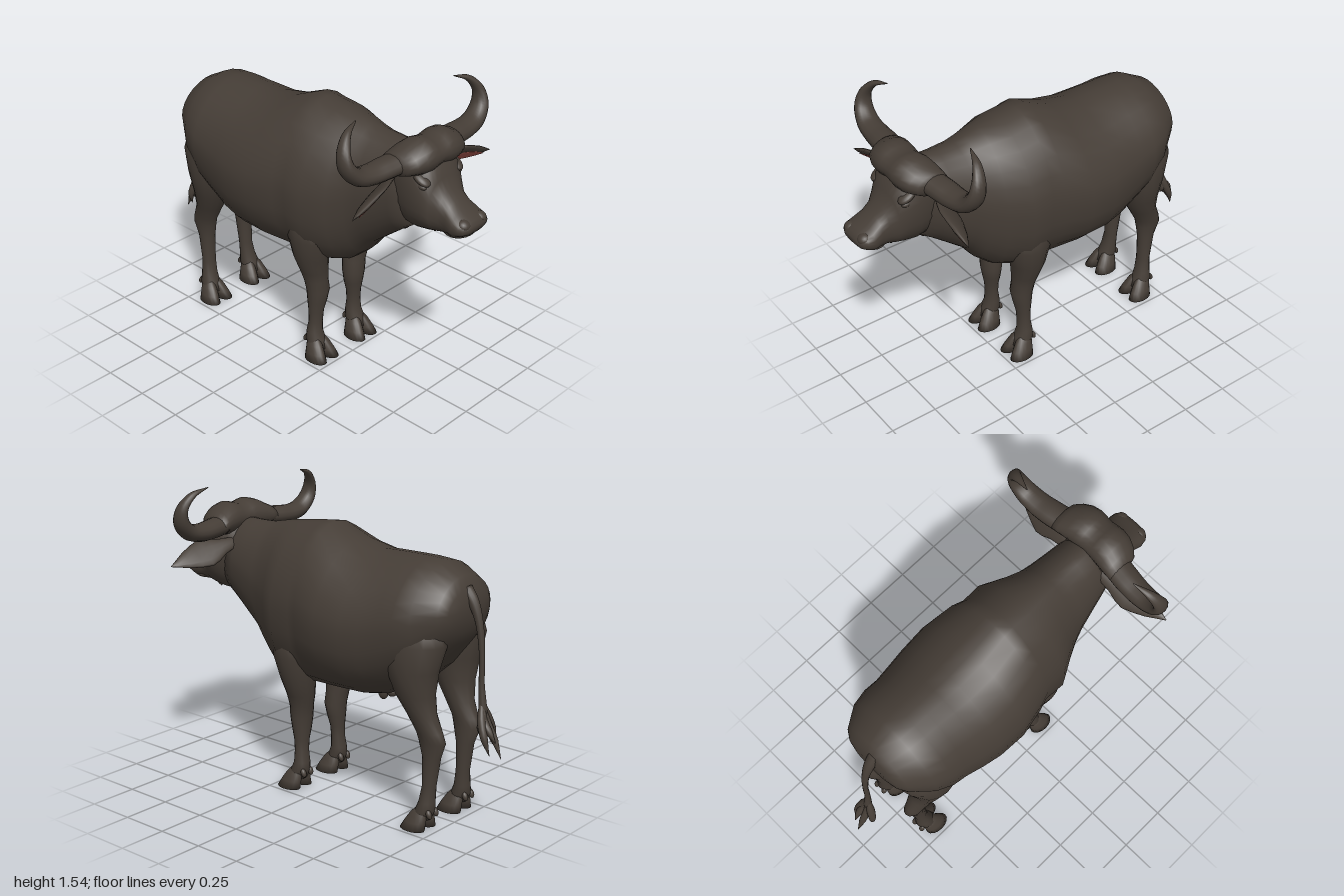
import * as THREE from 'three';

const hide = new THREE.MeshStandardMaterial({ color: 0x453d36 });
hide.name = 'darkHide';
const pink = new THREE.MeshStandardMaterial({ color: 0xa3534b });
pink.name = 'innerEarPink';

const V = (a) => new THREE.Vector3(...a);

// Closed skin over rings { c: centre, a, b: half axes, e, f: upper and lower superellipse power }
function loft(rings, n = 20) {
  const pos = [], idx = [];
  for (const { c, a, b, e = 2, f = e } of rings) {
    for (let i = 0; i < n; i++) {
      const t = (i / n) * Math.PI * 2, cs = Math.cos(t), sn = Math.sin(t), p = 2 / (sn > 0 ? e : f);
      const u = Math.sign(cs) * Math.abs(cs) ** p, v = Math.sign(sn) * Math.abs(sn) ** p;
      for (let k = 0; k < 3; k++) pos.push(c[k] + a[k] * u + b[k] * v);
    }
  }
  const m = rings.length;
  for (let r = 0; r < m - 1; r++) {
    for (let i = 0; i < n; i++) {
      const j = (i + 1) % n, p = r * n + i, q = r * n + j;
      idx.push(p, q, p + n, q, q + n, p + n);
    }
  }
  pos.push(...rings[0].c, ...rings[m - 1].c);
  for (let i = 0; i < n; i++) {
    const j = (i + 1) % n, z = (m - 1) * n;
    idx.push(m * n, j, i, m * n + 1, z + i, z + j);
  }
  // Turn the faces outward whichever way the rings run
  let vol = 0;
  const P = (i) => new THREE.Vector3().fromArray(pos, i * 3);
  for (let i = 0; i < idx.length; i += 3) vol += P(idx[i]).dot(P(idx[i + 1]).cross(P(idx[i + 2])));
  if (vol < 0) idx.reverse();
  const g = new THREE.BufferGeometry();
  g.setAttribute('position', new THREE.Float32BufferAttribute(pos, 3));
  g.setIndex(idx);
  g.computeVertexNormals();
  return g;
}

// Upright rings along x: [x, top, bottom, halfWidth]
const alongX = (rows, e, f) => loft(rows.map(([x, t, b, w]) => (
  { c: [x, (t + b) / 2, 0], a: [0, 0, w], b: [0, (t - b) / 2, 0], e, f })), 28);

// Level rings down a limb: [x, y, z, radiusX, radiusZ]
const alongY = (rows, s = 1) => loft(rows.map(([x, y, z, rx, rz]) => (
  { c: [x, y, z * s], a: [rx, 0, 0], b: [0, 0, rz] })), 16);

// Tapering tube through points [x, y, z, radius], flattened upright by 'flat'
function taper(rows, flat = 1, steps = 24) {
  const curve = new THREE.CatmullRomCurve3(rows.map((r) => V(r.slice(0, 3))));
  const rings = [];
  for (let i = 0; i <= steps; i++) {
    const t = i / steps, f = t * (rows.length - 1), k = Math.min(Math.floor(f), rows.length - 2);
    const r = THREE.MathUtils.lerp(rows[k][3], rows[k + 1][3], f - k);
    const d = curve.getTangent(t);
    const ref = Math.abs(d.x) > 0.9 ? new THREE.Vector3(0, 0, 1) : new THREE.Vector3(1, 0, 0);
    const a = ref.addScaledVector(d, -ref.dot(d)).normalize();
    const b = d.clone().cross(a);
    rings.push({
      c: curve.getPoint(t).toArray(),
      a: a.multiplyScalar(r / flat).toArray(), b: b.multiplyScalar(r).toArray(),
    });
  }
  return loft(rings, 14);
}

export function createModel() {
  const model = new THREE.Group();
  model.name = 'buffalo';
  const add = (name, geo, mat = hide) => {
    const m = new THREE.Mesh(geo, mat);
    m.name = name;
    model.add(m);
    return m;
  };
  const blob = (name, p, r, tilt = 0) => {
    const m = add(name, new THREE.SphereGeometry(1, 18, 12));
    m.position.set(...p);
    m.scale.set(...r);
    m.rotation.z = tilt;
  };

  // Trunk and neck, with a roof-like back
  add('body', alongX([
    [-0.82, 1.14, 1.04, 0.1], [-0.805, 1.19, 0.98, 0.165], [-0.775, 1.245, 0.92, 0.21],
    [-0.67, 1.3, 0.78, 0.285], [-0.58, 1.305, 0.7, 0.312], [-0.5, 1.305, 0.645, 0.316],
    [-0.4, 1.303, 0.6, 0.335], [-0.3, 1.3, 0.58, 0.352], [-0.15, 1.33, 0.575, 0.36],
    [0, 1.395, 0.563, 0.329], [0.06, 1.39, 0.558, 0.308], [0.17, 1.377, 0.557, 0.314],
    [0.28, 1.362, 0.59, 0.252], [0.36, 1.345, 0.66, 0.213], [0.42, 1.332, 0.74, 0.195],
    [0.52, 1.328, 0.82, 0.174], [0.59, 1.33, 0.875, 0.16], [0.66, 1.31, 0.925, 0.143],
  ], 1.85, 2.25));

  // Head from nape to muzzle
  add('head', alongX([
    [0.56, 1.26, 1.04, 0.1], [0.62, 1.33, 0.95, 0.143], [0.71, 1.35, 0.94, 0.157],
    [0.775, 1.31, 0.95, 0.15], [0.808, 1.225, 0.956, 0.128], [0.845, 1.172, 0.96, 0.1],
    [0.885, 1.133, 0.963, 0.098], [0.93, 1.1, 0.97, 0.109], [0.965, 1.082, 0.99, 0.104],
    [0.985, 1.068, 1.002, 0.09], [0.998, 1.05, 1.02, 0.06],
  ], 2.35));
  blob('lowerLip', [0.9, 0.988, 0], [0.07, 0.026, 0.085]);

  // Broad horn boss: rings along z as [z, x, y, radiusX, radiusY]
  const half = [[0.035, 0.7, 1.325, 0.103, 0.077], [0.07, 0.7, 1.325, 0.106, 0.085],
    [0.12, 0.693, 1.32, 0.106, 0.078], [0.165, 0.68, 1.312, 0.098, 0.062],
    [0.195, 0.666, 1.306, 0.083, 0.053], [0.206, 0.66, 1.302, 0.05, 0.03]];
  const bossRows = [...half.map(([z, ...r]) => [-z, ...r]).reverse(), [0, 0.7, 1.325, 0.1, 0.069], ...half];
  add('hornBoss', loft(bossRows.map(([z, x, y, rx, ry]) => (
    { c: [x, y, z], a: [rx, 0, 0], b: [0, ry, 0] })), 20));

  // Tail with a tuft of pointed strands
  add('tail', taper([
    [-0.78, 1.18, 0, 0.035], [-0.825, 1.125, 0, 0.028], [-0.862, 1.03, 0, 0.019],
    [-0.882, 0.88, 0, 0.014], [-0.885, 0.74, 0, 0.014], [-0.898, 0.6, 0, 0.022],
  ]));
  [[-1, 0.39, 0.012], [-0.965, 0.41, -0.045], [-0.93, 0.44, 0.048], [-0.895, 0.5, -0.03],
    [-0.985, 0.47, -0.02], [-0.945, 0.46, 0.01]].forEach(([x, y, z]) => add('tailTuft', taper([
    [-0.889, 0.66, 0, 0.01], [-0.908, 0.57, z * 0.6, 0.022], [(x - 0.915) / 2, (y + 0.57) / 2, z, 0.018],
    [x, y, z * 0.8, 0.001],
  ], 1, 10)));

  // Ragged beard under the throat and jaw
  for (let i = 0; i < 10; i++) {
    const x = 0.54 + i * 0.03, y = 0.865 + Math.min(i * 0.016, 0.09);
    const z = (i % 3 - 1) * 0.022;
    add('beardTuft', taper([[x + 0.005, y + 0.04, z, 0.024], [x, y, z, 0.015],
      [x - 0.012, y - 0.024, z, 0.001]], 1, 6));
  }

  for (const s of [1, -1]) {
    // Legs, bulging at knee and hock
    add('frontLeg', alongY([
      [0.12, 0.86, 0.19, 0.07, 0.06], [0.12, 0.8, 0.192, 0.11, 0.092], [0.12, 0.72, 0.188, 0.115, 0.1],
      [0.115, 0.6, 0.17, 0.09, 0.09], [0.115, 0.51, 0.15, 0.073, 0.073], [0.12, 0.45, 0.14, 0.06, 0.064],
      [0.127, 0.385, 0.132, 0.056, 0.063], [0.124, 0.32, 0.135, 0.047, 0.054], [0.121, 0.26, 0.14, 0.037, 0.042],
      [0.12, 0.2, 0.142, 0.034, 0.039], [0.116, 0.14, 0.145, 0.04, 0.044], [0.125, 0.095, 0.147, 0.05, 0.052],
      [0.142, 0.05, 0.147, 0.045, 0.045],
    ], s));
    add('hindLeg', alongY([
      [-0.6, 1.08, 0.14, 0.1, 0.07], [-0.595, 1.02, 0.145, 0.165, 0.11], [-0.6, 0.93, 0.155, 0.178, 0.13],
      [-0.605, 0.8, 0.165, 0.135, 0.118], [-0.62, 0.68, 0.16, 0.102, 0.092], [-0.655, 0.58, 0.15, 0.076, 0.066],
      [-0.695, 0.5, 0.145, 0.072, 0.052], [-0.71, 0.45, 0.14, 0.073, 0.047], [-0.705, 0.37, 0.135, 0.048, 0.041],
      [-0.695, 0.22, 0.137, 0.034, 0.038], [-0.688, 0.14, 0.143, 0.04, 0.044], [-0.68, 0.095, 0.147, 0.05, 0.052],
      [-0.662, 0.05, 0.147, 0.045, 0.045],
    ], s));

    // Cloven hooves and dewclaws
    for (const x of [0.12, -0.685]) {
      for (const side of [1, -1]) {
        const z = (d) => 0.147 + side * d;
        add('hoof', alongY([
          [x + 0.012, 0.11, z(0.018), 0.03, 0.018], [x + 0.022, 0.08, z(0.027), 0.047, 0.031],
          [x + 0.036, 0.04, z(0.036), 0.058, 0.037], [x + 0.047, 0, z(0.044), 0.068, 0.042],
        ], s));
        blob('dewclaw', [x - 0.038, 0.09, s * z(0.026)], [0.014, 0.024, 0.015], -0.4);
      }
    }

    // Sweeping horn
    add('horn', taper([
      [0.655, 1.303, s * 0.17, 0.05], [0.643, 1.297, s * 0.25, 0.049], [0.635, 1.295, s * 0.33, 0.046],
      [0.63, 1.313, s * 0.41, 0.042], [0.62, 1.37, s * 0.465, 0.035], [0.605, 1.44, s * 0.471, 0.026],
      [0.58, 1.505, s * 0.425, 0.016], [0.555, 1.537, s * 0.34, 0.002],
    ], 0.72, 32));

    // Ear: a flattened leaf opening forward and down; rows are [t, halfWidth, drop]
    const ear = (rows, lift, thick) => loft(rows.map(([t, w, drop = 0]) => {
      const k = thick * Math.min(1, w / 0.04);
      return {
        c: [0.605 + 0.075 * t + lift * 0.68 - drop * 0.73, 1.217 - 0.077 * t - lift * 0.73 - drop * 0.68,
          s * (0.12 + 0.37 * t - lift * 0.25)],
        a: [0.73 * w, 0.68 * w, 0],
        b: [0.68 * k, -0.73 * k, -0.25 * s * k],
      };
    }), 14);
    add('ear', ear([[0, 0.03], [0.2, 0.048], [0.34, 0.072], [0.46, 0.083], [0.6, 0.07],
      [0.76, 0.048], [0.9, 0.021], [1, 0.002]], 0, 0.016));
    add('earLining', ear([[0.36, 0.006, 0.012], [0.4, 0.03, 0.016], [0.48, 0.05, 0.016], [0.6, 0.048, 0.013],
      [0.7, 0.038, 0.01], [0.8, 0.022, 0.007], [0.88, 0.003, 0.005]], 0.0135, 0.004), pink);

    // Face details
    blob('brow', [0.757, 1.238, s * 0.116], [0.052, 0.02, 0.034], -0.5);
    blob('eye', [0.767, 1.207, s * 0.126], [0.028, 0.015, 0.018], -0.2);
    blob('nostrilRim', [0.963, 1.054, s * 0.058], [0.033, 0.026, 0.034], -0.3);
  }

  // Small bumps under the belly
  blob('bellyBump', [-0.3, 0.575, 0], [0.028, 0.042, 0.026]);
  blob('bellyBump', [-0.355, 0.585, 0], [0.03, 0.026, 0.028]);

  return model;
}
